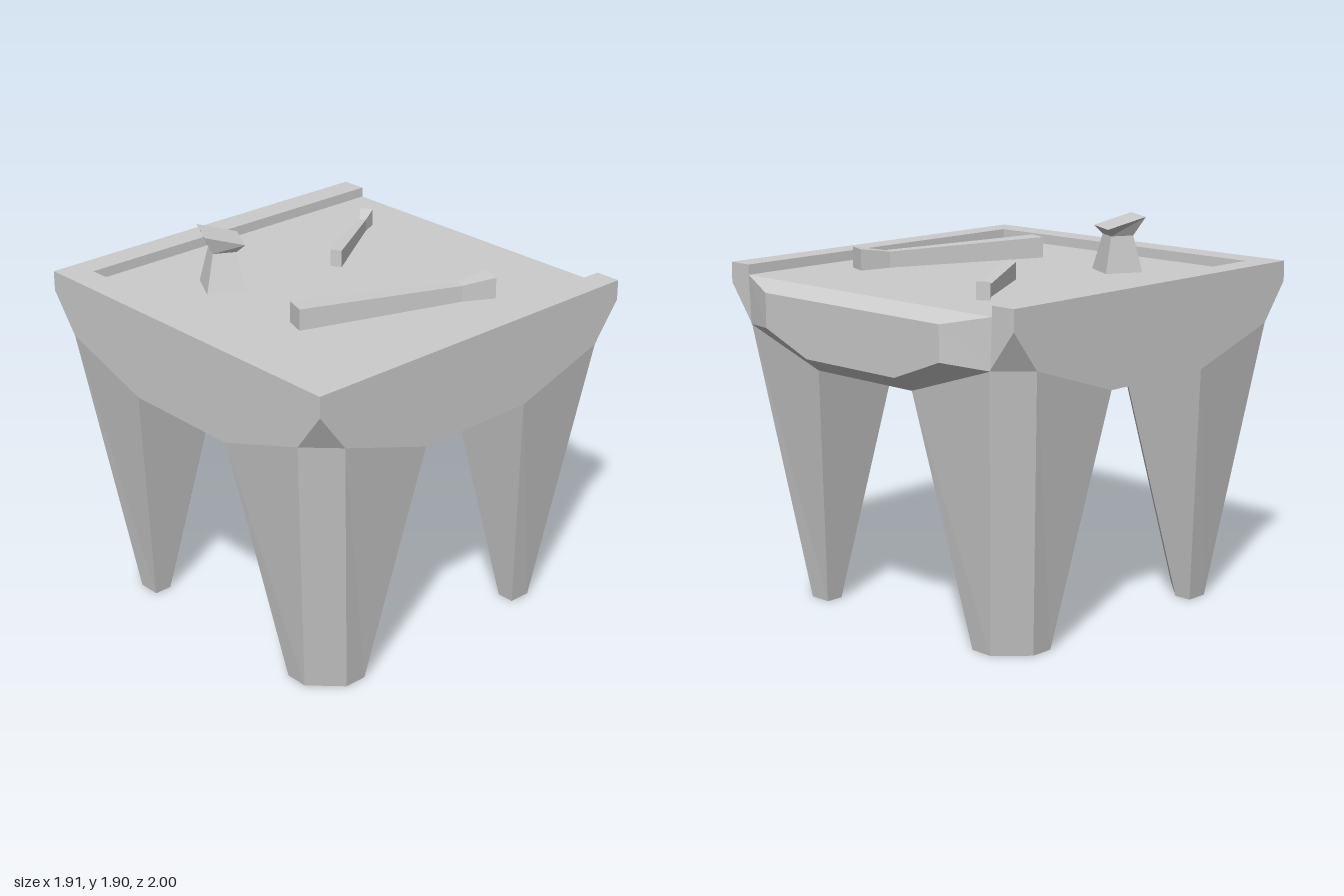
import * as THREE from 'three';

const stone = new THREE.MeshStandardMaterial({ color: 0xcccccc, flatShading: true });
stone.name = 'plain grey';

function addMesh(parent, name, geometry) {
  const mesh = new THREE.Mesh(geometry, stone);
  mesh.name = name;
  parent.add(mesh);
  return mesh;
}

function fromTriangles(points) {
  const geometry = new THREE.BufferGeometry();
  geometry.setAttribute('position', new THREE.Float32BufferAttribute(points.flat(), 3));
  geometry.computeVertexNormals();
  return geometry;
}

// Closed solid through rings of equal point count, turned outward by its signed volume
function loft(rings) {
  const n = rings[0].length;
  const tris = [];
  for (let r = 0; r < rings.length - 1; r++) {
    const a = rings[r], b = rings[r + 1];
    for (let i = 0; i < n; i++) {
      const j = (i + 1) % n;
      tris.push([a[i], a[j], b[j]], [a[i], b[j], b[i]]);
    }
  }
  const first = rings[0], last = rings[rings.length - 1];
  for (let i = 1; i < n - 1; i++) {
    tris.push([first[0], first[i + 1], first[i]], [last[0], last[i], last[i + 1]]);
  }
  let volume = 0;
  for (const t of tris) {
    const [a, b, c] = t.map((p) => new THREE.Vector3(...p));
    volume += a.dot(b.cross(c));
  }
  if (volume < 0) tris.forEach((t) => t.reverse());
  return fromTriangles(tris.flat());
}

const shapeOf = (pts) => new THREE.Shape(pts.map(([x, y]) => new THREE.Vector2(x, y)));

const H = 0.955;      // half width of the table
const FLOOR = 1.63;   // sunken work surface
const RIM = 1.68;
const UNDER = 1.23;

function createTable() {
  const table = new THREE.Group();
  table.name = 'table';

  // Four identical quarters: a wall with an arched lower edge, a cut corner and a leg
  const half = [[0.32, UNDER], [0.81, 1.39], [H, 1.58], [H, FLOOR]];
  const wall = new THREE.ShapeGeometry(
    shapeOf([...half, ...half.map(([x, y]) => [-x, y]).reverse()])
  ).translate(0, 0, H);
  const corner = fromTriangles([[H, 1.58, H], [0.81, 1.39, H], [H, 1.39, 0.81]]);
  const leg = loft([
    [[0.625, 0, 0.765], [0.51, 0, 0.765], [0.51, 0, 0.675],
      [0.675, 0, 0.51], [0.765, 0, 0.51], [0.765, 0, 0.625]],
    [[0.81, 1.39, H], [0.32, UNDER, H], [0.32, UNDER, 0.46],
      [0.46, UNDER, 0.32], [H, UNDER, 0.32], [H, 1.39, 0.81]],
  ]);
  for (let k = 0; k < 4; k++) {
    const quarter = new THREE.Group();
    quarter.name = 'quarter' + (k + 1);
    quarter.rotation.y = (k * Math.PI) / 2;
    addMesh(quarter, 'wall', wall);
    addMesh(quarter, 'cutCorner', corner);
    addMesh(quarter, 'leg', leg);
    table.add(quarter);
  }

  // Underside between the legs
  const cross = [];
  for (let k = 0; k < 4; k++) {
    for (const [x, y] of [[H, 0.32], [0.46, 0.32], [0.32, 0.46], [0.32, H]]) {
      const p = new THREE.Vector2(x, y).rotateAround(new THREE.Vector2(), (k * Math.PI) / 2);
      cross.push([p.x, p.y]);
    }
  }
  addMesh(table, 'underside',
    new THREE.ShapeGeometry(shapeOf(cross)).rotateX(Math.PI / 2).translate(0, UNDER, 0));

  // Work surface and the rim around three sides, open at the back
  addMesh(table, 'workSurface',
    new THREE.PlaneGeometry(1.65, 1.77).rotateX(-Math.PI / 2).translate(0, FLOOR, -0.07));
  const rim = shapeOf([[-H, H], [-H, -H], [H, -H], [H, H],
    [0.825, H], [0.825, -0.815], [-0.825, -0.815], [-0.825, H]]);
  addMesh(table, 'rim',
    new THREE.ExtrudeGeometry(rim, { depth: RIM - FLOOR, bevelEnabled: false })
      .rotateX(-Math.PI / 2).translate(0, FLOOR, 0));

  // Bevelled bulge on the back wall
  const backRing = (side, z) => [...side, ...side.map(([x, y]) => [-x, y]).reverse()]
    .map(([x, y]) => [x, y, z]);
  addMesh(table, 'backBulge', loft([
    backRing([[0.825, FLOOR], [0.815, 1.39], [0.32, UNDER]], -H),
    backRing([[0.59, 1.58], [0.59, 1.41], [0.3, 1.3]], -1.045),
  ]));

  table.position.z = 0.045;
  return table;
}

// Bar lying on the work surface; each section is [left x, left z, right x, right z, top y]
function bar(sections) {
  return loft(sections.map(([x1, z1, x2, z2, y]) => [
    [x1, FLOOR, z1], [x1, y, z1], [x2, y, z2], [x2, FLOOR, z2],
  ]));
}

// Turned square ring; the last height is for its back edge
function squareRing(cx, cz, side, yFront, yBack = yFront) {
  const angle = -0.49, s = side / 2;
  return [[-s, s], [s, s], [s, -s], [-s, -s]].map(([u, v]) => [
    cx + u * Math.cos(angle) + v * Math.sin(angle),
    v > 0 ? yFront : yBack,
    cz - u * Math.sin(angle) + v * Math.cos(angle),
  ]);
}

export function createModel() {
  const model = new THREE.Group();
  model.name = 'workTable';
  model.add(createTable());

  // Loose tools
  addMesh(model, 'longTool', bar([
    [0.19, 0.495, 0.295, 0.53, 1.735],
    [0.5, -0.28, 0.555, -0.26, 1.71],
    [0.53, -0.445, 0.635, -0.405, 1.735],
  ]));
  addMesh(model, 'shortTool', bar([
    [-0.2, -0.11, -0.15, -0.14, 1.715],
    [-0.465, -0.55, -0.435, -0.57, 1.69],
    [-0.53, -0.62, -0.475, -0.655, 1.715],
  ]));
  addMesh(model, 'smallAnvil', loft([
    squareRing(-0.36, 0.44, 0.19, FLOOR),
    squareRing(-0.375, 0.425, 0.115, 1.81),
    squareRing(-0.388, 0.422, 0.195, 1.905, 1.85),
  ]));
  return model;
}
